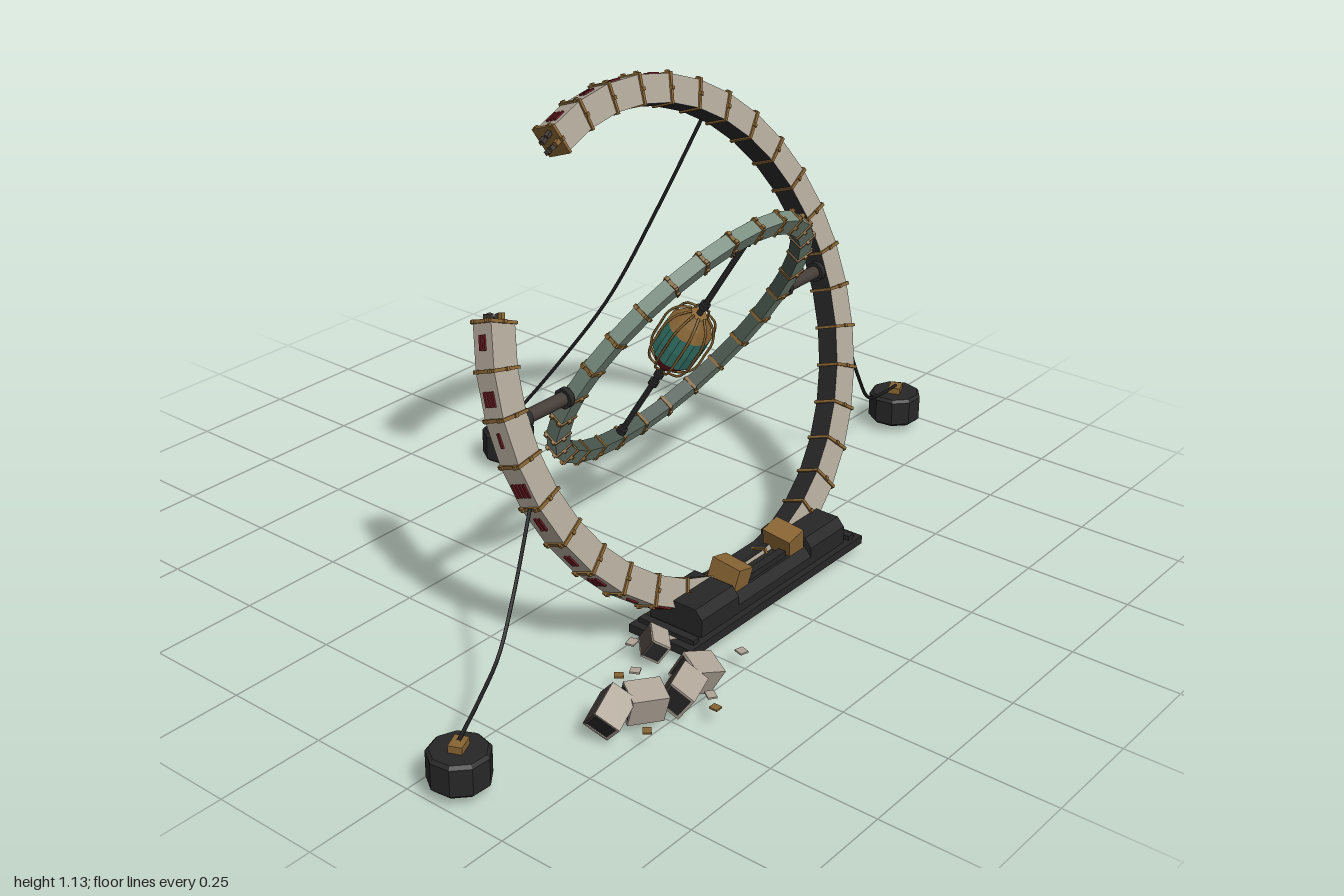
import * as THREE from 'three';

const mat = (name, color) => Object.assign(new THREE.MeshStandardMaterial({ color }), { name });
const bone = mat('bone panel', 0xaea497);
const green = mat('sage panel', 0x7a8e80);
const deepGreen = mat('deep green liner', 0x46544b);
const gold = mat('aged brass', 0x876433);
const dark = mat('charcoal', 0x272728);
const rope = mat('cable black', 0x1e1e1e);
const teal = mat('teal glass', 0x3a8073);
const red = mat('dark red', 0x661820);
const steel = mat('brown steel', 0x453d38);
const rad = THREE.MathUtils.degToRad;

function add(parent, name, geo, material, pos = [0, 0, 0], rot = [0, 0, 0]) {
  const m = new THREE.Mesh(geo, material);
  m.name = name;
  m.position.set(...pos);
  m.rotation.set(...rot);
  parent.add(m);
  return m;
}

function group(parent, name, pos = [0, 0, 0], rot = [0, 0, 0]) {
  const g = new THREE.Group();
  g.name = name;
  g.position.set(...pos);
  g.rotation.set(...rot);
  parent.add(g);
  return g;
}

// A box bent into a wedge of a ring: x becomes radius, y becomes angle
function arcBox(r0, r1, a0, a1, w) {
  const geo = new THREE.BoxGeometry(1, 1, w);
  const p = geo.attributes.position;
  for (let i = 0; i < p.count; i++) {
    const r = r0 + (p.getX(i) + 0.5) * (r1 - r0);
    const a = a0 + (p.getY(i) + 0.5) * (a1 - a0);
    p.setXY(i, r * Math.cos(a), r * Math.sin(a));
  }
  geo.computeVertexNormals();
  return geo;
}

// Panels with brass bands and bolts between them
function buildRing(g, { r0, r1, w, start, sweep, count, faces, closed, lip }) {
  const step = sweep / count, rm = (r0 + r1) / 2, half = 0.0036 / rm;
  const bolt = new THREE.BoxGeometry(0.008, 0.008, 0.008);
  for (let i = 0; i < count; i++) {
    const a = start + i * step;
    add(g, 'ringPanel', arcBox(r0, r1, a, a + step, w), faces);
  }
  for (let i = 0; i < (closed ? count : count + 1); i++) {
    const a = start + i * step;
    add(g, 'ringBand', arcBox(r0 - lip, r1 + lip, a - half, a + half, w + 2 * lip), gold);
    for (const s of [-1, 1]) {
      const at = (r, z) => [r * Math.cos(a), r * Math.sin(a), z];
      add(g, 'bandBolt', bolt, gold, at(r1 + lip, s * w * 0.36), [0, 0, a]);
      add(g, 'bandBolt', bolt, gold, at(rm, s * (w / 2 + lip)), [0, 0, a]);
    }
  }
}

function buildOuterRing(root) {
  const g = group(root, 'outerRing', [0, 0.57, 0.12], [rad(-20), 0, 0]);
  const start = rad(158), sweep = rad(315), count = 32, step = sweep / count;
  buildRing(g, { r0: 0.52, r1: 0.585, w: 0.054, start, sweep, count, lip: 0.004,
    faces: [bone, dark, dark, dark, bone, bone] });
  // Tally strokes on the rim
  for (let i = 0; i < count; i++) {
    const n = [2, 3, 1, 4, 2][i % 5], mid = start + (i + 0.5) * step;
    for (let k = 0; k < n; k++) {
      const a = mid + (i % 2 ? 0.012 : -0.012);
      add(g, 'tallyStroke', new THREE.BoxGeometry(0.005, 0.032, 0.006), red,
        [0.5845 * Math.cos(a), 0.5845 * Math.sin(a), (k - (n - 1) / 2) * 0.011], [0, 0, a]);
    }
  }
  // Torn rods at the broken ends
  [[start, -1], [start + sweep, 1]].forEach(([a, dir]) => {
    for (let k = 0; k < 5; k++) {
      const r = 0.53 + 0.011 * k, b = a + dir * (0.006 + 0.004 * (k % 3));
      add(g, 'tornRod', new THREE.BoxGeometry(0.01, 0.02 + 0.006 * (k % 2), 0.01), k === 2 ? gold : steel,
        [r * Math.cos(b), r * Math.sin(b), ((k * 2) % 5 - 2) * 0.011], [0.2 * (k - 2), 0, a + 0.15 * (k - 2)]);
    }
  });
}

function buildInnerRing(root) {
  const g = group(root, 'innerRing', [0, 0.572, 0.125], [rad(32), 0, 0]);
  buildRing(g, { r0: 0.335, r1: 0.375, w: 0.032, start: 0, sweep: Math.PI * 2, count: 28, lip: 0.003,
    closed: true, faces: [green, deepGreen, green, green, green, bone] });

  // Spindle and its beads
  add(g, 'spindle', new THREE.CylinderGeometry(0.007, 0.007, 0.67, 8), dark);
  for (const y of [-0.15, -0.12, 0.115, 0.325, -0.325])
    add(g, 'spindleBead', new THREE.CylinderGeometry(0.012, 0.012, 0.014, 8), dark, [0, y, 0]);

  // Lantern core: three lathed bands inside a rib cage
  const lathe = (pts) => {
    const geo = new THREE.LatheGeometry(pts.map(p => new THREE.Vector2(...p)), 10).toNonIndexed();
    geo.computeVertexNormals();
    return geo;
  };
  const core = group(g, 'core');
  add(core, 'coreBottom', lathe([[0, -0.09], [0.02, -0.087], [0.038, -0.066], [0.054, -0.042]]), red);
  add(core, 'coreGlass', lathe([[0.054, -0.042], [0.056, 0], [0.054, 0.042]]), teal);
  add(core, 'coreTop', lathe([[0.054, 0.042], [0.038, 0.066], [0.02, 0.087], [0, 0.09]]), gold);
  const ribPath = new THREE.CatmullRomCurve3([[0.02, -0.092], [0.046, -0.072], [0.059, -0.042], [0.06, 0],
    [0.059, 0.042], [0.046, 0.072], [0.02, 0.092]].map(([x, y]) => new THREE.Vector3(x, y, 0)));
  const rib = new THREE.TubeGeometry(ribPath, 14, 0.003, 5);
  for (let i = 0; i < 10; i++) add(core, 'coreRib', rib, gold, [0, 0, 0], [0, i * Math.PI / 5, 0]);
}

function buildAxles(root) {
  for (const s of [-1, 1]) {
    const g = group(root, s > 0 ? 'leftAxle' : 'rightAxle', [0, 0.572, 0.122]);
    const disc = (name, r, len, x, m) =>
      add(g, name, new THREE.CylinderGeometry(r, r, len, 10), m, [s * x, 0, 0], [0, 0, Math.PI / 2]);
    disc('axleShaft', 0.016, 0.16, 0.447, steel);
    disc('axleCollar', 0.023, 0.014, 0.385, dark);
    disc('axleCollar', 0.024, 0.016, 0.512, dark);
  }
}

function buildBase(root) {
  const g = group(root, 'base', [0, 0, 0.325]);
  add(g, 'basePlate', new THREE.BoxGeometry(0.64, 0.02, 0.17), dark, [0, 0.035, 0]);
  add(g, 'baseFoot', new THREE.BoxGeometry(0.5, 0.015, 0.13), dark, [0, 0.023, 0]);
  add(g, 'footStrip', new THREE.BoxGeometry(0.26, 0.006, 0.03), gold, [0, 0.014, 0]);
  // Chamfered cradle blocks, the middle one lower to seat the ring
  for (const [x, len, h] of [[-0.2, 0.13, 0.062], [0, 0.27, 0.04], [0.2, 0.13, 0.062]]) {
    const s = new THREE.Shape([[-0.07, 0], [0.07, 0], [0.07, h - 0.02], [0.052, h], [-0.052, h], [-0.07, h - 0.02]]
      .map(p => new THREE.Vector2(...p)));
    const geo = new THREE.ExtrudeGeometry(s, { depth: len, bevelEnabled: false }).translate(0, 0, -len / 2);
    add(g, 'cradleBlock', geo, dark, [x, 0.045, 0], [0, Math.PI / 2, 0]);
  }
  add(g, 'ringSaddle', new THREE.BoxGeometry(0.14, 0.055, 0.02), dark, [0, 0.072, 0.036]);
  for (const x of [-0.29, 0.29])
    add(g, 'endRib', new THREE.BoxGeometry(0.02, 0.012, 0.15), dark, [x, 0.05, 0]);
  for (const d of [-1, 1])
    add(g, 'clamp', new THREE.BoxGeometry(0.052, 0.06, 0.075), gold, [d * 0.1, 0.107, 0.017], [0.12, 0, d * 0.25]);
}

// Weights with cables up to the outer ring
function buildAnchors(root) {
  [
    ['rightAnchor', [-0.935, 0.33], [[-0.565, 0.41, 0.185], [-0.65, 0.265, 0.215], [-0.735, 0.175, 0.25], [-0.83, 0.14, 0.288]]],
    ['leftAnchor', [0.93, 0.1], [[0.565, 0.39, 0.185], [0.645, 0.265, 0.168], [0.725, 0.172, 0.148], [0.82, 0.137, 0.125]]],
    ['backAnchor', [0.13, -0.53], [[0.325, 0.995, -0.06], [0.277, 0.73, -0.17], [0.23, 0.49, -0.28], [0.182, 0.3, -0.4]]],
  ].forEach(([name, [x, z], pts]) => {
    const g = group(root, name);
    const body = (r0, r1, h, y) => {
      const geo = new THREE.CylinderGeometry(r0, r1, h, 9).toNonIndexed();
      geo.computeVertexNormals();
      add(g, 'weight', geo, dark, [x, y, z], [0, 0.3, 0]);
    };
    body(0.066, 0.066, 0.06, 0.062);
    body(0.059, 0.066, 0.007, 0.0955);
    body(0.066, 0.059, 0.007, 0.0285);
    add(g, 'weightCleat', new THREE.BoxGeometry(0.04, 0.016, 0.03), gold, [x, 0.107, z], [0, 0.4, 0]);
    const path = new THREE.CatmullRomCurve3([...pts, [x, 0.115, z]].map(p => new THREE.Vector3(...p)));
    add(g, 'cable', new THREE.TubeGeometry(path, 28, 0.0042, 6), rope);
  });
}

// Fallen ring panels and chips on the ground
function buildDebris(root) {
  const g = group(root, 'debris');
  [[-0.625, 0.07, 0.445, 0.4], [-0.55, 0.066, 0.47, -0.5], [-0.465, 0.062, 0.5, 0.3],
    [-0.39, 0.057, 0.48, -0.3], [-0.35, 0.05, 0.335, 0.7]].forEach(([x, y, z, t], i) => {
    const b = group(g, 'fallenPanel', [x, y, z], [0.5 + t * 0.4, t, 0.2 - 0.15 * i]);
    b.scale.setScalar(i < 4 ? 1 : 0.75);
    const faces = [dark, dark, i % 2 ? bone : steel, bone, bone, dark];
    add(b, 'panelBlock', new THREE.BoxGeometry(0.076, 0.062, 0.056), faces);
    // Bone rims round the hollow ends and back
    for (const s of [-1, 1]) {
      add(b, 'panelRim', new THREE.BoxGeometry(0.08, 0.006, 0.06), bone, [0, s * 0.03, 0]);
      add(b, 'panelRim', new THREE.BoxGeometry(0.08, 0.058, 0.006), s > 0 ? bone : steel, [0, 0, s * 0.027]);
    }
  });
  [[-0.45, 0.575], [-0.25, 0.49], [-0.3, 0.345], [-0.485, 0.35], [-0.45, 0.365], [-0.37, 0.29],
    [-0.54, 0.41], [-0.33, 0.43], [-0.42, 0.54], [-0.6, 0.52]].forEach(([x, z], i) =>
    add(g, 'chip', new THREE.BoxGeometry(0.018 + 0.004 * (i % 3), 0.004, 0.02), i % 3 ? bone : gold,
      [x, 0.044, z], [0, i * 1.3, 0]));
}

export function createModel() {
  const root = new THREE.Group();
  root.name = 'brokenRingMonument';
  buildOuterRing(root);
  buildInnerRing(root);
  buildAxles(root);
  buildBase(root);
  buildAnchors(root);
  buildDebris(root);
  return root;
}
